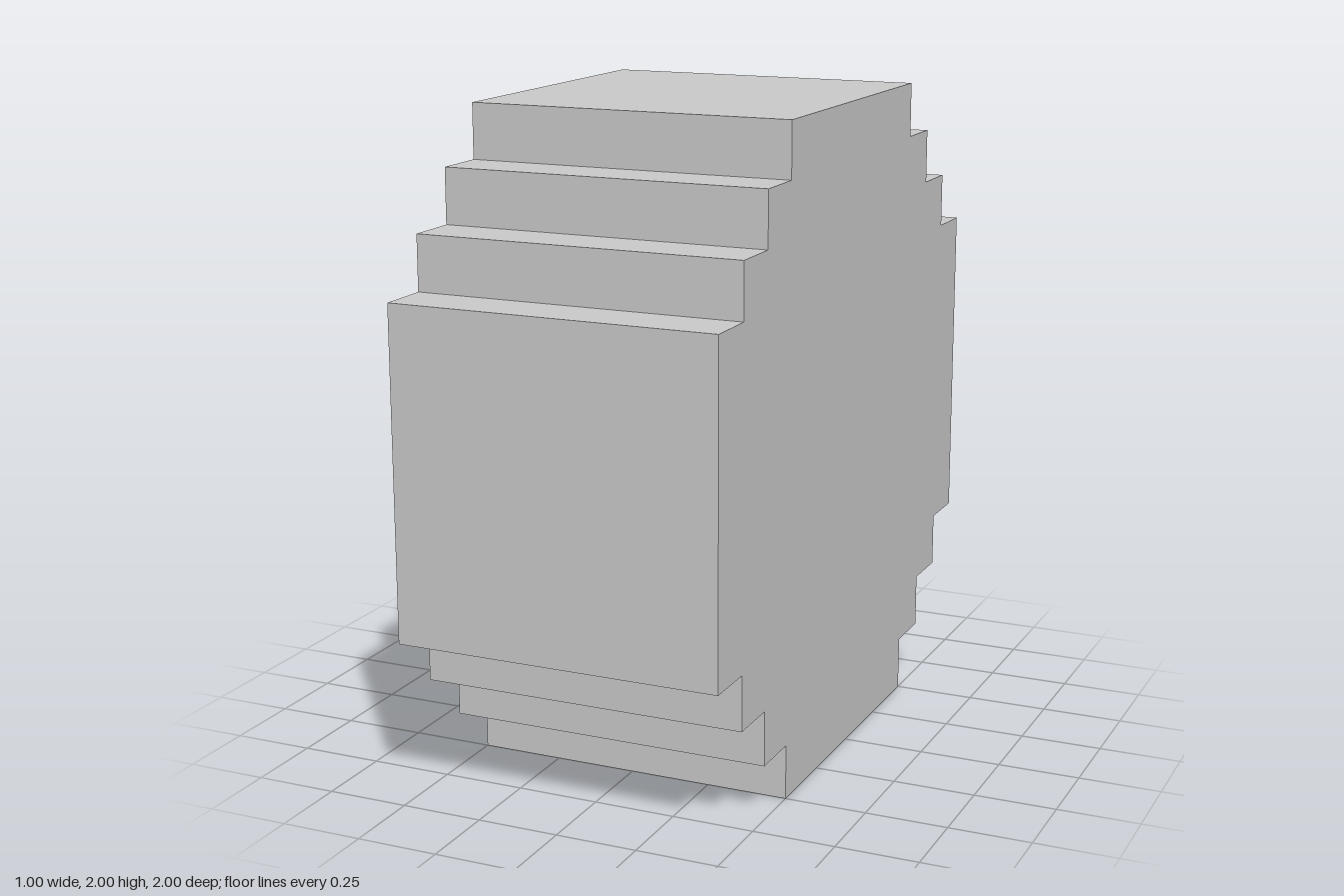
import * as THREE from 'three';

export function createModel() {
  const group = new THREE.Group();
  const width = 1, step = 1 / 6;

  // One stepped corner of the wheel outline, counter-clockwise
  const corner = [new THREE.Vector2(1, 0.5)];
  for (let i = 0; i < 3; i++) {
    corner.push(new THREE.Vector2(1 - (i + 1) * step, 0.5 + i * step));
    corner.push(new THREE.Vector2(1 - (i + 1) * step, 0.5 + (i + 1) * step));
  }

  // Repeat the corner in quarter turns to close the outline
  const outline = [];
  const centre = new THREE.Vector2();
  for (let q = 0; q < 4; q++) {
    for (const p of corner) outline.push(p.clone().rotateAround(centre, q * Math.PI / 2));
  }

  // Extrude across the width, then turn the axle to x and rest it on the ground
  const geometry = new THREE.ExtrudeGeometry(new THREE.Shape(outline), { depth: width, bevelEnabled: false });
  geometry.translate(0, 0, -width / 2).rotateY(Math.PI / 2).translate(0, 1, 0);

  const wheel = new THREE.Mesh(geometry, new THREE.MeshStandardMaterial({ color: 0xcccccc, flatShading: true }));
  wheel.name = 'steppedWheel';
  group.add(wheel);
  return group;
}
